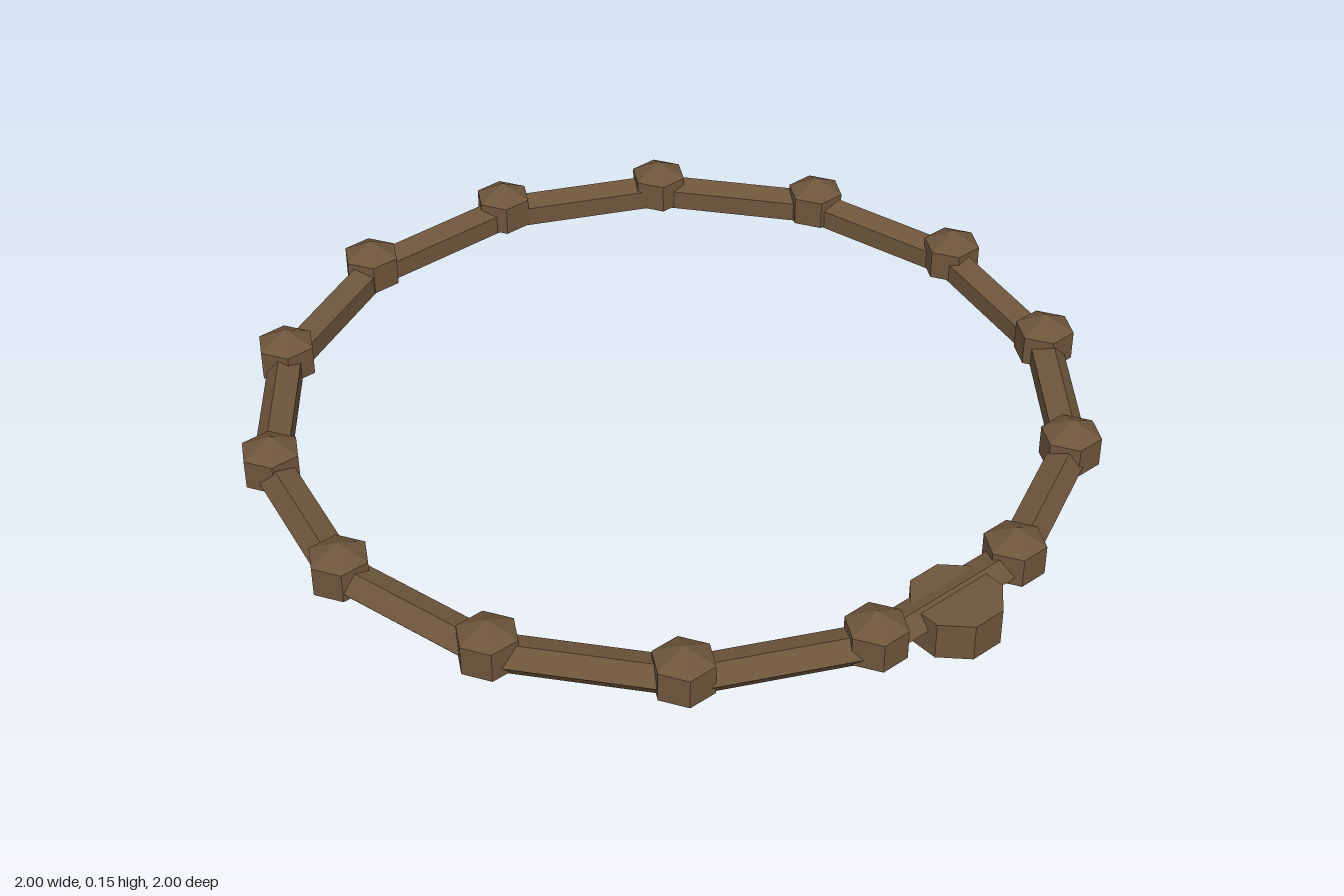
import * as THREE from 'three';

export function createModel() {
  const model = new THREE.Group();
  model.name = 'beadedCirclet';
  const bronze = new THREE.MeshStandardMaterial({ color: 0x6e563c });
  bronze.name = 'darkBronze';

  const COUNT = 14, RADIUS = 0.93, CENTRE_Z = -0.033, FLATTEN = 0.9;

  // Faceted copies of a geometry give hard edges on every face
  const add = (name, geometry, x, y, z, parent = model) => {
    const flat = geometry.toNonIndexed();
    flat.computeVertexNormals();
    const mesh = new THREE.Mesh(flat, bronze);
    mesh.name = name;
    mesh.position.set(x, y, z);
    parent.add(mesh);
    return mesh;
  };

  // Band: fourteen straight lengths with a five-sided section
  const band = new THREE.TorusGeometry(RADIUS, 0.0467, 5, COUNT);
  band.rotateX(Math.PI / 2).scale(1, FLATTEN, 1);
  add('band', band, 0, 0.06, CENTRE_Z);

  // Hexagonal beads at the corners of the band, all facing the same way
  const beads = new THREE.Group();
  beads.name = 'beads';
  model.add(beads);
  const bead = new THREE.SphereGeometry(0.081, 6, 3).scale(1, FLATTEN, 1);
  for (let i = 0; i < COUNT; i++) {
    const a = (i / COUNT) * Math.PI * 2;
    add('bead', bead, Math.cos(a) * RADIUS, 0.076, CENTRE_Z + Math.sin(a) * RADIUS, beads);
  }

  // Octagonal clasp at the front
  const clasp = new THREE.CylinderGeometry(0.106, 0.106, 0.09, 8).rotateY(Math.PI / 8);
  add('clasp', clasp, 0, 0.047, 0.902);

  return model;
}
